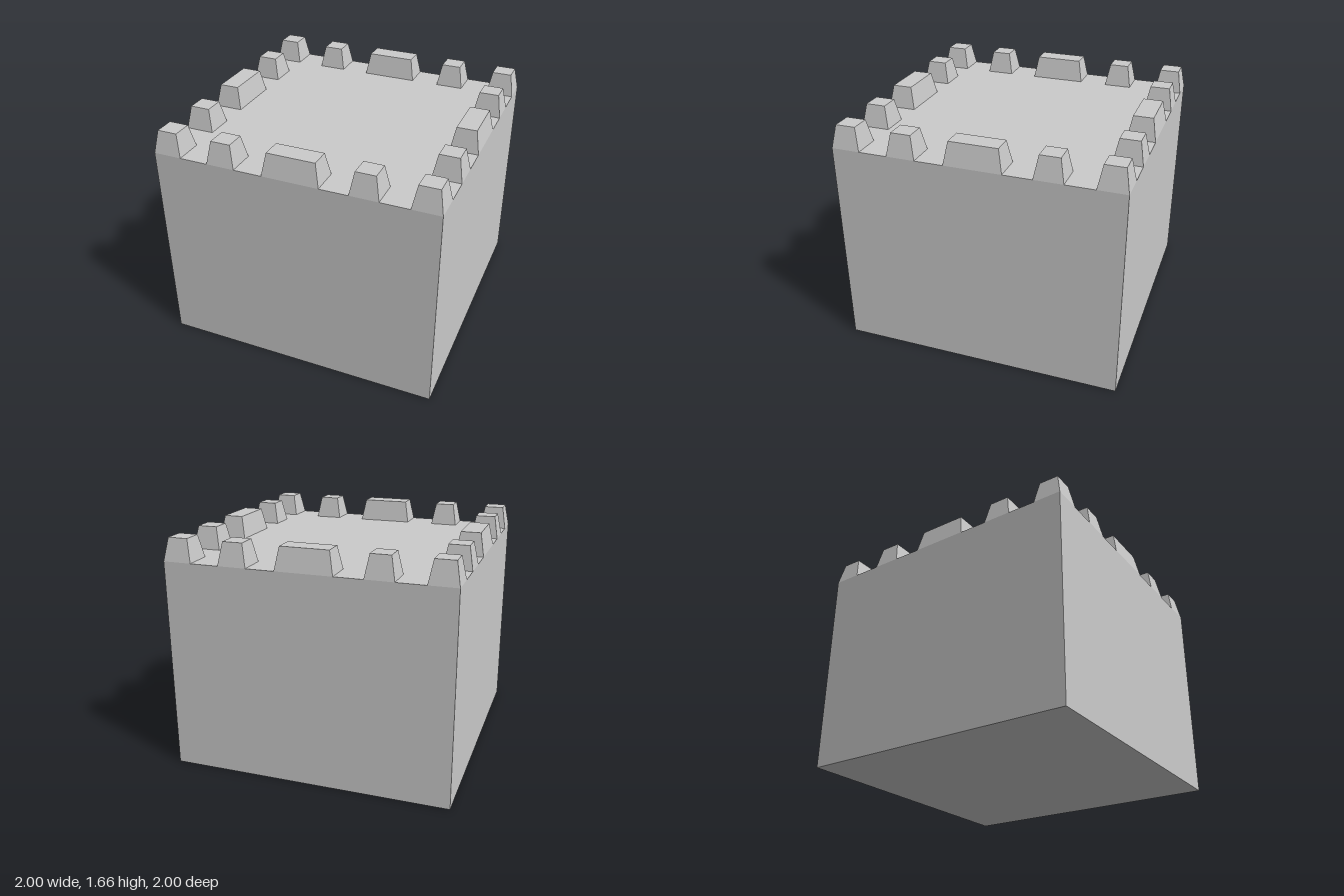
import * as THREE from 'three';

const BODY_HEIGHT = 1.5;
const MERLON_HEIGHT = 0.16;
const DEPTH = 0.2;
const INSET = 0.03;

// Box standing on y = 0 whose top edges are drawn in by INSET on every side
function taperedBlock(width, depth) {
  const geometry = new THREE.BoxGeometry(width, MERLON_HEIGHT, depth);
  geometry.translate(0, MERLON_HEIGHT / 2, 0);
  const p = geometry.attributes.position;
  for (let i = 0; i < p.count; i++) {
    if (p.getY(i) > MERLON_HEIGHT / 2) {
      p.setX(i, p.getX(i) - Math.sign(p.getX(i)) * INSET);
      p.setZ(i, p.getZ(i) - Math.sign(p.getZ(i)) * INSET);
    }
  }
  geometry.computeVertexNormals();
  return geometry;
}

export function createModel() {
  const model = new THREE.Group();
  model.name = 'battlementBlock';
  const material = new THREE.MeshStandardMaterial({ color: 0xcccccc, flatShading: true });

  // Solid tower body
  const body = new THREE.Mesh(new THREE.BoxGeometry(2, BODY_HEIGHT, 2), material);
  body.name = 'towerBody';
  body.position.y = BODY_HEIGHT / 2;
  model.add(body);

  // Each side carries one corner, two small merlons and a wide middle one
  const small = taperedBlock(DEPTH, DEPTH);
  const wide = taperedBlock(0.4, DEPTH);
  const row = [
    ['cornerMerlon', small, -0.9],
    ['smallMerlon', small, -0.5],
    ['wideMerlon', wide, 0],
    ['smallMerlon', small, 0.5],
  ];
  for (let i = 0; i < 4; i++) {
    const side = new THREE.Group();
    side.name = ['front', 'left', 'back', 'right'][i] + 'Battlement';
    side.rotation.y = i * Math.PI / 2;
    for (const [name, geometry, x] of row) {
      const merlon = new THREE.Mesh(geometry, material);
      merlon.name = name;
      merlon.position.set(x, BODY_HEIGHT, 1 - DEPTH / 2);
      side.add(merlon);
    }
    model.add(side);
  }
  return model;
}
